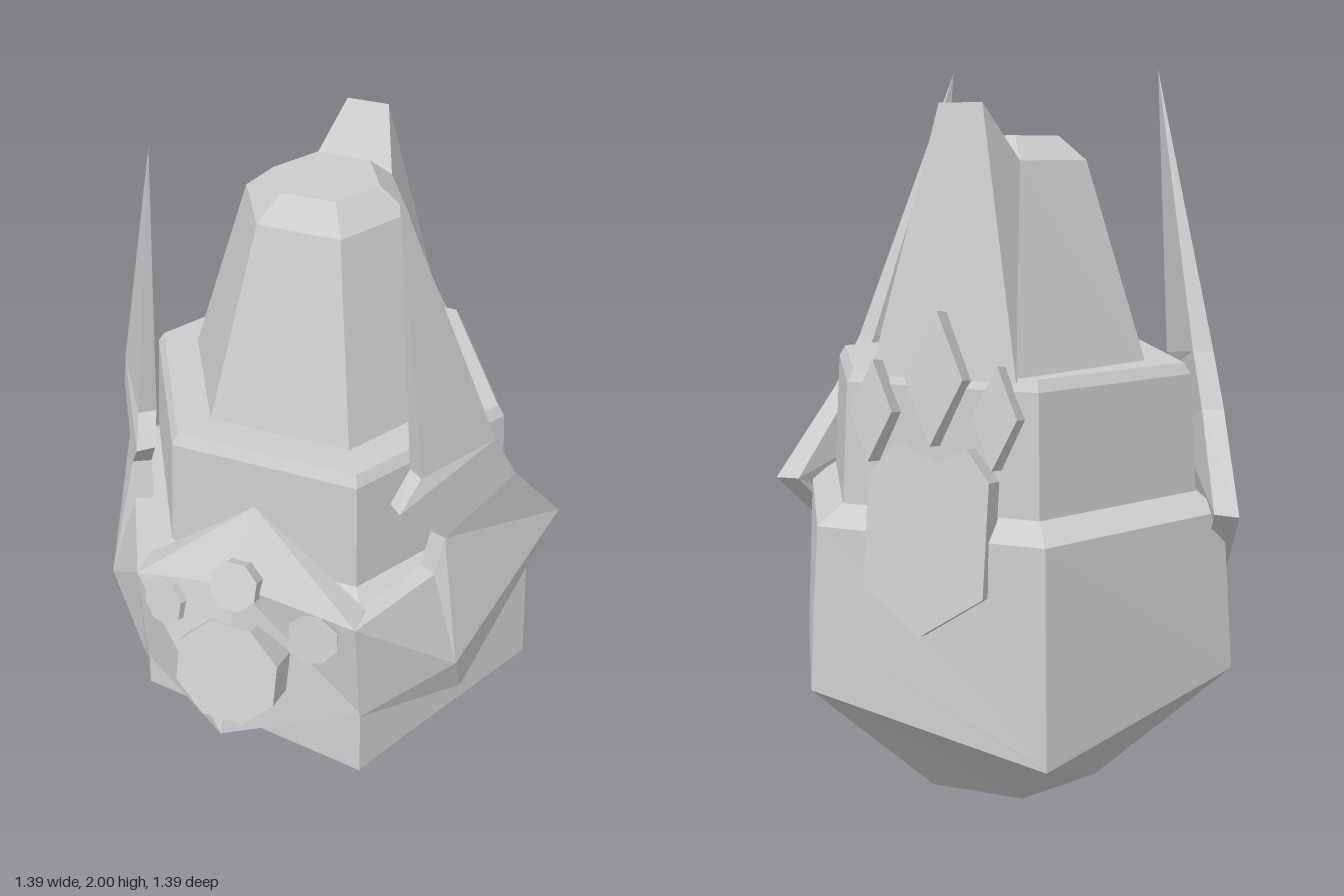
import * as THREE from 'three';

const material = new THREE.MeshStandardMaterial({ color: 0xcccccc, flatShading: true, side: THREE.DoubleSide });

function add(parent, name, geometry) {
  const mesh = new THREE.Mesh(geometry, material);
  mesh.name = name;
  parent.add(mesh);
  return mesh;
}

// Flat-shaded geometry from polygons given as lists of [x, y, z] corners
function polygons(faces) {
  const pos = [];
  for (const f of faces)
    for (let i = 1; i < f.length - 1; i++) pos.push(...f[0], ...f[i], ...f[i + 1]);
  const g = new THREE.BufferGeometry();
  g.setAttribute('position', new THREE.Float32BufferAttribute(pos, 3));
  g.computeVertexNormals();
  return g;
}

const mirror = (p) => [-p[0], p[1], p[2]];
const withMirror = (faces) => [...faces, ...faces.map((f) => f.map(mirror).reverse())];

// Hexagon around the body axis, corner 0 at +x, then towards the front;
// radius and height may vary per corner
function hexagon(r, y) {
  const pick = (v, i) => (Array.isArray(v) ? v[i] : v);
  return Array.from({ length: 6 }, (_, i) => {
    const a = (i * Math.PI) / 3;
    return [pick(r, i) * Math.cos(a), pick(y, i), pick(r, i) * Math.sin(a) - 0.1];
  });
}

// Skin between successive hexagons, closed at both ends
function loft(rings) {
  const faces = [rings[0], [...rings[rings.length - 1]].reverse()];
  for (let k = 0; k < rings.length - 1; k++)
    for (let i = 0; i < 6; i++) {
      const j = (i + 1) % 6;
      faces.push([rings[k][i], rings[k + 1][i], rings[k + 1][j], rings[k][j]]);
    }
  return polygons(faces);
}

// Half of the mask with its horn: an outer skin, an inner skin and a rim
function maskHalf() {
  const P = {
    tip: [0.32, 2, 0.27], hornBack: [0.55, 1.22, 0.07], ear: [0.6, 1.07, 0],
    side: [0.695, 0.82, -0.2], low: [0.54, 0.42, 0.2], chin: [0.33, 0.48, 0.48],
    cheek: [0.54, 0.575, 0.275], muzzle: [0.32, 0.83, 0.51], corner: [0.455, 0.86, 0.25],
    notch: [0.47, 0.97, 0.22], tooth: [0.38, 1.12, 0.35], hornFront: [0.41, 1.19, 0.27],
  };
  const outer = [
    ['tip', 'hornFront', 'hornBack'], ['hornFront', 'tooth', 'hornBack'],
    ['hornBack', 'tooth', 'ear'], ['ear', 'tooth', 'notch'], ['ear', 'notch', 'side'],
    ['side', 'notch', 'cheek'], ['notch', 'corner', 'cheek'], ['corner', 'muzzle', 'cheek'],
    ['muzzle', 'chin', 'cheek'], ['cheek', 'chin', 'low'], ['side', 'cheek', 'low'],
  ];
  const rim = ['tip', 'hornBack', 'ear', 'side', 'low', 'chin', 'muzzle', 'corner', 'notch', 'tooth', 'hornFront'];
  const inner = (n) => {
    const [x, y, z] = P[n];
    return n === 'tip' ? P[n] : [x * 0.9, y, (z + 0.1) * 0.92 - 0.1];
  };
  const faces = outer.map((f) => f.map((n) => P[n]));
  faces.push(...outer.map((f) => f.map(inner).reverse()));
  rim.forEach((n, i) => {
    const m = rim[(i + 1) % rim.length];
    faces.push([P[n], P[m], inner(m), inner(n)]);
  });
  return faces;
}

// Octagonal stud whose cap is centred on a point and faces a direction
function stud(parent, name, radius, depth, at, facing) {
  const g = new THREE.CylinderGeometry(radius, radius, depth, 8);
  g.rotateY(Math.PI / 8);
  g.translate(0, -depth / 2, 0);
  g.rotateX(Math.PI / 2);
  const mesh = add(parent, name, g);
  mesh.position.set(...at);
  mesh.lookAt(at[0] + facing[0], at[1] + facing[1], at[2] + facing[2]);
}

function plate(parent, name, points) {
  const shape = new THREE.Shape(points.map(([x, y]) => new THREE.Vector2(x, y)));
  const g = new THREE.ExtrudeGeometry(shape, { depth: 0.07, bevelEnabled: false });
  return add(parent, name, g.translate(0, 0, -0.07));
}

export function createModel() {
  const model = new THREE.Group();
  model.name = 'hornedHelmet';

  // Faceted body with an uneven lower edge and two stepped ledges
  add(model, 'body', loft([
    hexagon(0.27, 0),
    hexagon([0.58, 0.66, 0.66, 0.66, 0.66, 0.66], [0.24, 0.25, 0.37, 0.37, 0.24, 0.37]),
    hexagon([0.655, 0.66, 0.66, 0.66, 0.66, 0.65], [0.33, 0.26, 0.38, 0.38, 0.25, 0.55]),
    hexagon(0.63, 0.81), hexagon(0.55, 0.86),
    hexagon(0.53, 1.18), hexagon(0.51, 1.21),
  ]));

  // Tapered crown, stretched backwards at its foot
  const foot = hexagon(0.404, 1.2);
  foot[4][2] = foot[5][2] = -0.55;
  const shoulder = hexagon(0.23, 1.745);
  add(model, 'crown', loft([foot, shoulder, hexagon(0.15, 1.81)]));

  // Fin rising from the back of the crown
  const peak = [0.06, 1.89, -0.42];
  add(model, 'crownFin', polygons([
    [foot[5], foot[4], mirror(peak), peak],
    [shoulder[4], shoulder[5], peak, mirror(peak)],
    [foot[5], peak, shoulder[5]],
    [foot[4], shoulder[4], mirror(peak)],
  ]));

  // Mask halves with horns
  const half = maskHalf();
  add(model, 'leftMask', polygons(half));
  add(model, 'rightMask', polygons(half.map((f) => f.map(mirror).reverse())));

  // Pointed muzzle
  const brow = [0, 1.09, 0.42], bridge = [0, 0.93, 0.56], snout = [0, 0.495, 0.69], throat = [0, 0.37, 0.47];
  const top = [0.32, 0.83, 0.51], back = [0.32, 0.84, 0.43], jaw = [0.33, 0.485, 0.475];
  add(model, 'muzzle', polygons(withMirror([
    [brow, bridge, top], [bridge, snout, jaw, top], [snout, throat, jaw],
    [brow, top, back], [brow, back, [0, 0.84, 0.43]],
    [back, top, jaw],
  ])));

  // Studs on the muzzle
  stud(model, 'mouthStud', 0.155, 0.1, [0, 0.68, 0.64], [0, 0.28, 1]);
  stud(model, 'noseStud', 0.07, 0.09, [0, 0.935, 0.575], [0, 0.45, 1]);
  for (const s of [1, -1])
    stud(model, s > 0 ? 'leftStud' : 'rightStud', 0.07, 0.06, [s * 0.22, 0.8, 0.56], [s * 0.35, 0.25, 1]);

  // Paw-shaped badge leaning against the back
  const badge = new THREE.Group();
  badge.name = 'backBadge';
  badge.position.set(0, 1, -0.565);
  badge.rotation.x = 0.15;
  model.add(badge);
  plate(badge, 'pad', [
    [0, -0.45], [0.165, -0.34], [0.165, -0.05], [0.1, 0.03],
    [0, -0.02], [-0.1, 0.03], [-0.165, -0.05], [-0.165, -0.34],
  ]);
  for (const [x, y, w, h] of [[0, 0.2, 0.08, 0.17], [0.17, 0.11, 0.06, 0.13], [-0.17, 0.11, 0.06, 0.13]])
    plate(badge, 'toe', [[0, -h], [w, 0], [0, h], [-w, 0]]).position.set(x, y, 0);

  return model;
}
